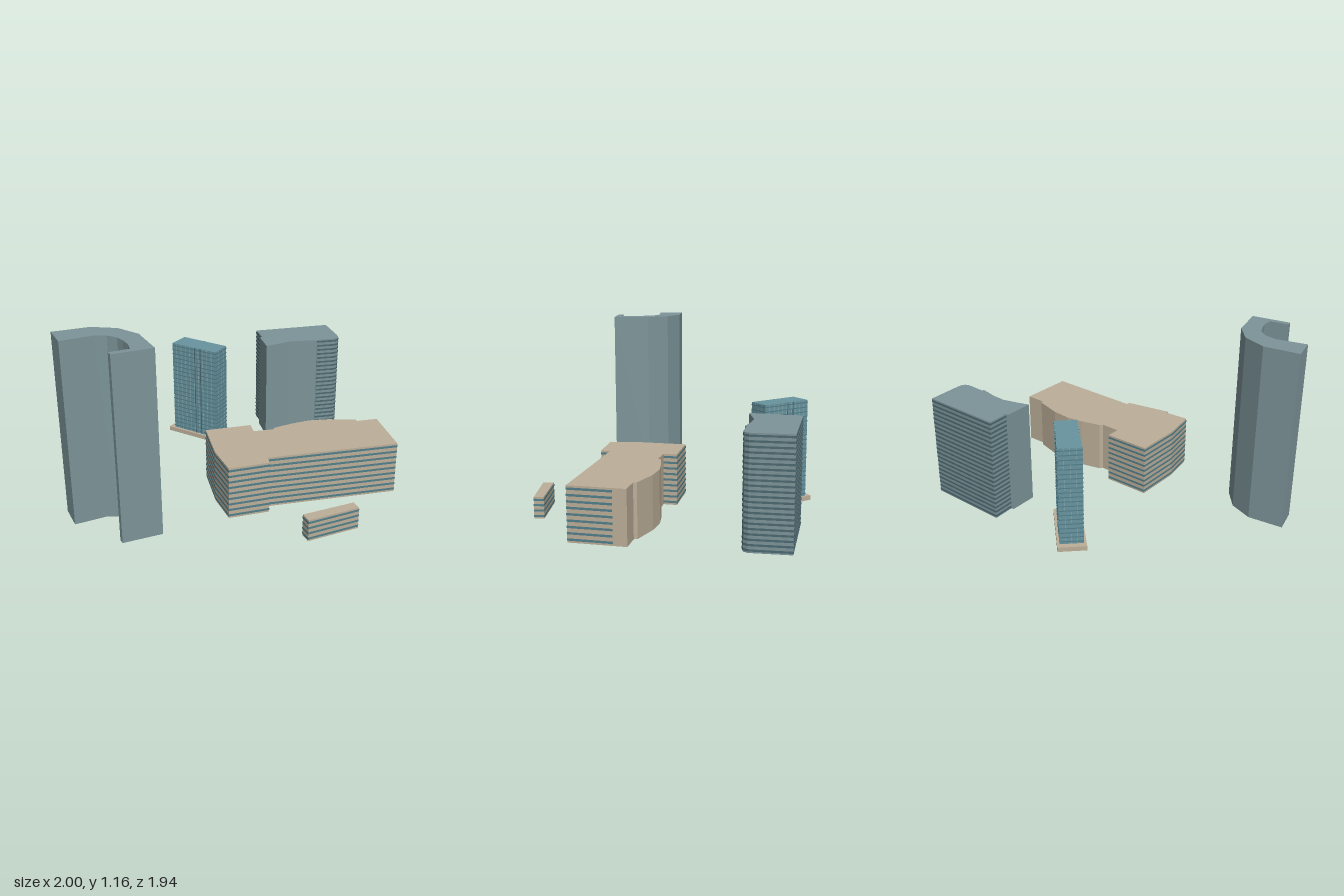
import * as THREE from 'three';
import { mergeGeometries } from 'three/addons/utils/BufferGeometryUtils.js';

const TAN = 0xbcae98, SLATE = 0x7c9498, TEAL = 0x68949f;
const GLASS = 0x527f8a, SHADE = 0x4b6870, PALE = 0x8fb0b4;

// Footprints are lists of [x, z] points on the ground.
const toVectors = pts => pts.map(([x, z]) => new THREE.Vector2(x, -z));

// Straight block raised from a footprint, optionally with a hole through it.
function block(name, pts, height, color, hole) {
  const shape = new THREE.Shape(toVectors(pts));
  if (hole) shape.holes.push(new THREE.Path(toVectors(hole)));
  const geo = new THREE.ExtrudeGeometry(shape, { depth: height, bevelEnabled: false });
  geo.rotateX(-Math.PI / 2);
  const mesh = new THREE.Mesh(geo, new THREE.MeshStandardMaterial({ color, flatShading: true }));
  mesh.name = name;
  return mesh;
}

// Thin strip on the wall from a to b, between two heights.
function strip(a, b, y0, y1, depth = 0.004) {
  const dx = b[0] - a[0], dz = b[1] - a[1];
  const geo = new THREE.BoxGeometry(Math.hypot(dx, dz), y1 - y0, depth);
  geo.rotateY(Math.atan2(-dz, dx));
  geo.translate((a[0] + b[0]) / 2, (y0 + y1) / 2, (a[1] + b[1]) / 2);
  return geo;
}

function merged(name, geos, color) {
  const mesh = new THREE.Mesh(mergeGeometries(geos), new THREE.MeshStandardMaterial({ color, flatShading: true }));
  mesh.name = name;
  return mesh;
}

// Evenly spaced window bands along one or more runs of wall points.
function bands(name, runs, height, count, share, color) {
  const geos = [], step = height / count;
  for (const run of runs)
    for (let i = 0; i + 1 < run.length; i++)
      for (let k = 0; k < count; k++) {
        const mid = (k + 0.5) * step;
        geos.push(strip(run[i], run[i + 1], mid - step * share / 2, mid + step * share / 2));
      }
  return merged(name, geos, color);
}

const between = (a, b, t) => [a[0] + (b[0] - a[0]) * t, a[1] + (b[1] - a[1]) * t];

function group(name, ...parts) {
  const g = new THREE.Group();
  g.name = name;
  g.add(...parts);
  return g;
}

// Tall tower with a hooked, curved plan
function curvedTower() {
  return block('curvedTower', [
    [-1, 0.66], [-0.80, 0.56], [-0.64, 0.565], [-0.505, 0.645], [-0.375, 0.85],
    [-0.59, 0.965], [-0.61, 0.935], [-0.505, 0.875], [-0.53, 0.81], [-0.57, 0.755],
    [-0.61, 0.715], [-0.675, 0.69], [-0.75, 0.70], [-0.915, 0.80],
  ], 1.165, SLATE);
}

// Slim glass tower on a low plinth
function glassTower() {
  const h = 0.68;
  const plan = [[-0.46, -0.62], [-0.145, -0.465], [-0.205, -0.34], [-0.525, -0.49]];
  const plinth = [[-0.485, -0.65], [-0.10, -0.465], [-0.18, -0.31], [-0.565, -0.49]];
  const mullions = [];
  plan.forEach((a, i) => {
    const b = plan[(i + 1) % 4];
    const n = i % 2 ? 4 : 10;
    for (let k = 1; k < n; k++)
      mullions.push(strip(between(a, b, k / n - 0.006), between(a, b, k / n + 0.006), 0.03, h, 0.003));
  });
  // dark vertical slots on both long faces
  const slots = [[plan[3], plan[2]], [plan[1], plan[0]]].flatMap(([a, b]) =>
    [0.52, 0.65].map(t => strip(between(a, b, t - 0.008), between(a, b, t + 0.008), 0.03, h, 0.005)));
  return group('glassTower',
    block('glassTowerBody', plan, h, TEAL),
    block('plinth', plinth, 0.03, TAN, plan),
    bands('glassTowerFloors', [[...plan, plan[0]]], h, 22, 0.22, GLASS),
    merged('glassTowerMullions', mullions, PALE),
    merged('glassTowerSlots', slots, SHADE));
}

// Mid-rise block with a rounded corner and a smooth concave front
function rearBlock() {
  const plan = [
    [0.04, -0.80], [0.54, -0.97], [0.62, -0.765], [0.63, -0.735], [0.625, -0.705],
    [0.60, -0.685], [0.485, -0.65], [0.48, -0.635], [0.375, -0.62], [0.285, -0.595],
    [0.19, -0.53], [0.135, -0.49], [0.075, -0.66], [0.09, -0.67],
  ];
  return group('rearBlock',
    block('rearBlockBody', plan, 0.68, SLATE),
    bands('rearBlockWindows', [[plan[13], ...plan.slice(0, 7)]], 0.68, 22, 0.4, SHADE));
}

// Broad low block with a front wing and a curved back wall
function mainBlock() {
  const plan = [
    [-0.21, 0.16], [0.07, 0.06], [0.097, 0.145], [0.22, 0.107], [0.227, 0.083],
    [0.34, 0.01], [0.445, -0.045], [0.57, -0.075], [0.75, -0.085], [0.762, -0.067],
    [0.89, -0.11], [1, 0.23], [0.21, 0.49], [0.225, 0.55], [-0.01, 0.645], [-0.115, 0.45],
  ];
  const endWall = between(plan[10], plan[11], 0.24);
  return group('mainBlock',
    block('mainBlockBody', plan, 0.34, TAN),
    bands('mainBlockWindows', [[endWall, ...plan.slice(11), plan[0], plan[1], plan[2]]], 0.34, 9, 0.36, GLASS));
}

// Small pavilion in front
function pavilion() {
  const plan = [[0.73, 0.625], [0.76, 0.68], [0.47, 0.845], [0.435, 0.785]];
  return group('pavilion',
    block('pavilionBody', plan, 0.14, TAN),
    bands('pavilionWindows', [[...plan, plan[0]]], 0.14, 4, 0.36, GLASS));
}

export function createModel() {
  return group('cityBlock', curvedTower(), glassTower(), rearBlock(), mainBlock(), pavilion());
}
